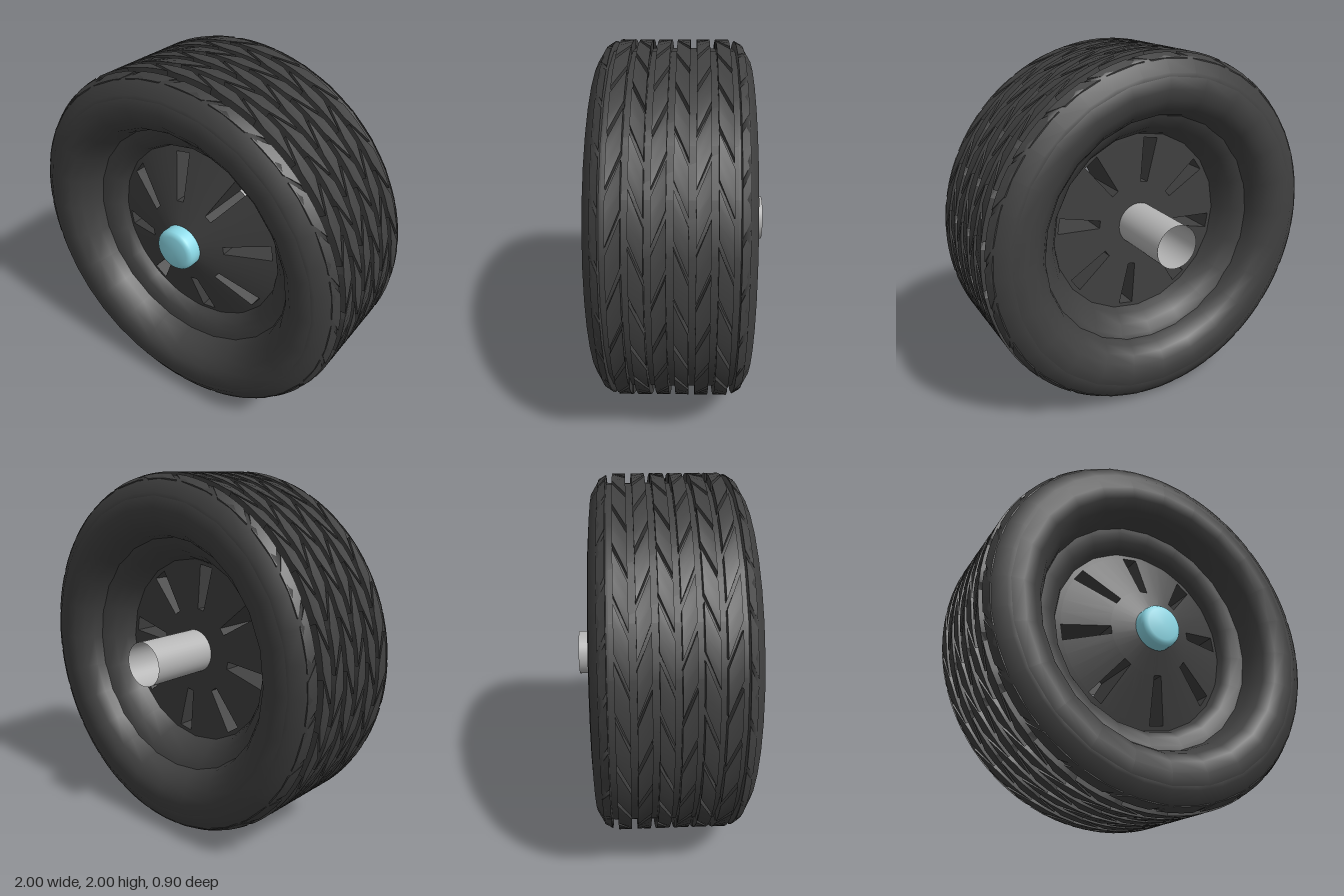
import * as THREE from 'three';
import { toCreasedNormals } from 'three/addons/utils/BufferGeometryUtils.js';

const rubber = new THREE.MeshStandardMaterial({ name: 'dark rubber', color: 0x404040 });
const cyan = new THREE.MeshStandardMaterial({ name: 'pale cyan', color: 0x8cdae8 });
const steel = new THREE.MeshStandardMaterial({ name: 'light grey', color: 0xb4b4b4, side: THREE.DoubleSide });

const SEGMENTS = 24;
const STEP = (Math.PI * 2) / SEGMENTS;

function addMesh(parent, name, geometry, material) {
  const mesh = new THREE.Mesh(geometry, material);
  mesh.name = name;
  parent.add(mesh);
}

// Turns a profile of [radius, z] pairs about the wheel axis (z)
function turned(profile, segments) {
  const points = profile.map(([r, z]) => new THREE.Vector2(r, z));
  return new THREE.LatheGeometry(points, segments).rotateX(Math.PI / 2);
}

// Collects four-sided faces, split along the shorter diagonal
function faceBuilder() {
  const positions = [];
  const gap = (a, b) => Math.hypot(a[0] - b[0], a[1] - b[1], a[2] - b[2]);
  return {
    quad(a, b, c, d) {
      if (gap(a, c) <= gap(b, d)) positions.push(...a, ...b, ...c, ...a, ...c, ...d);
      else positions.push(...a, ...b, ...d, ...b, ...c, ...d);
    },
    build() {
      const geometry = new THREE.BufferGeometry();
      geometry.setAttribute('position', new THREE.Float32BufferAttribute(positions, 3));
      return toCreasedNormals(geometry, 0.4);
    },
  };
}

const polar = (angle, r, z) => [Math.cos(angle) * r, Math.sin(angle) * r, z];

// One rib around the tyre: blocks parted by slanted cuts.
// r0 and r1 are the outer radii at the back (z0) and front (z1) edges.
function ribGeometry(z0, z1, r0, r1, slant, phase) {
  const { quad, build } = faceBuilder();
  const base = 0.92, cut = 0.04, parts = 3;
  // Corners: back base, back top, front top, front base
  const section = (angle) => [
    polar(angle - slant / 2, base, z0), polar(angle - slant / 2, r0, z0),
    polar(angle + slant / 2, r1, z1), polar(angle + slant / 2, base, z1),
  ];
  for (let i = 0; i < SEGMENTS; i++) {
    const start = i * STEP + phase;
    const sections = [];
    for (let k = 0; k <= parts; k++) sections.push(section(start + ((STEP - cut) * k) / parts));
    for (let k = 0; k < parts; k++) {
      const s = sections[k], e = sections[k + 1];
      quad(s[1], e[1], e[2], s[2]);
      quad(s[3], s[2], e[2], e[3]);
      quad(s[0], e[0], e[1], s[1]);
    }
    const first = sections[0], last = sections[parts];
    quad(last[0], last[3], last[2], last[1]);
    quad(first[0], first[1], first[2], first[3]);
  }
  return build();
}

// Wheel disc: coned front, flat back, eight tapered slots on a polar grid
function discGeometry() {
  const { quad, build } = faceBuilder();
  const radii = [0.08, 0.25, 0.505, 0.56];
  const back = -0.05, half = 0.088, sector = Math.PI / 4, spokeCells = 4;
  const f = (t, r) => polar(t, r, 0.17 + 0.19 * (1 - r / 0.56));
  const b = (t, r) => polar(t, r, back);
  for (let i = 0; i < 8; i++) {
    const centre = i * sector + 0.166;
    const angles = [centre - half];
    for (let k = 0; k <= spokeCells; k++) {
      angles.push(centre + half + ((sector - 2 * half) * k) / spokeCells);
    }
    for (let a = 0; a <= spokeCells; a++) {
      const t = angles[a], u = angles[a + 1];
      for (let k = 0; k < 3; k++) {
        const r = radii[k], s = radii[k + 1];
        if (a === 0 && k === 1) {
          // Slot walls
          quad(b(t, r), f(t, r), f(t, s), b(t, s));
          quad(b(u, s), f(u, s), f(u, r), b(u, r));
          quad(b(t, r), b(u, r), f(u, r), f(t, r));
          quad(f(t, s), f(u, s), b(u, s), b(t, s));
        } else {
          quad(f(t, r), f(t, s), f(u, s), f(u, r));
          quad(b(u, r), b(u, s), b(t, s), b(t, r));
        }
      }
    }
  }
  return build();
}

export function createModel() {
  const model = new THREE.Group();
  model.name = 'wheel';
  const wheel = new THREE.Group();
  wheel.name = 'wheelAssembly';
  wheel.position.y = 1;
  model.add(wheel);

  // Tyre body with rounded sidewalls and the floor of the tread grooves
  addMesh(wheel, 'tyreBody', turned([
    [0.66, -0.21], [0.675, -0.265], [0.71, -0.315], [0.76, -0.348], [0.82, -0.36], [0.89, -0.35],
    [0.935, -0.315], [0.955, -0.26], [0.957, 0.35],
    [0.935, 0.405], [0.89, 0.44], [0.82, 0.45], [0.76, 0.435], [0.71, 0.39], [0.675, 0.32], [0.66, 0.25],
  ], SEGMENTS), rubber);

  // Rim steps on both sides of the disc
  addMesh(wheel, 'frontRim', turned([[0.685, 0.265], [0.64, 0.26], [0.59, 0.245], [0.55, 0.21], [0.523, 0.15]], 20), rubber);
  addMesh(wheel, 'backRim', turned([[0.523, -0.03], [0.55, -0.1], [0.59, -0.165], [0.64, -0.205], [0.685, -0.22]], 20), rubber);

  // Tread: six ribs with cuts slanting in turn, and a sloping shoulder at each side
  const tread = new THREE.Group();
  tread.name = 'tread';
  wheel.add(tread);
  const slant = 0.17;
  for (let i = 0; i < 6; i++) {
    const z = -0.205 + i * 0.1;
    const turn = i % 2 ? -1 : 1;
    addMesh(tread, 'treadRib', ribGeometry(z - 0.034, z + 0.034, 1, 1, slant * turn, i % 2 ? 0.13 : 0), rubber);
  }
  addMesh(tread, 'frontShoulder', ribGeometry(0.362, 0.4, 0.992, 0.968, slant / 2, 0), rubber);
  addMesh(tread, 'backShoulder', ribGeometry(-0.313, -0.273, 0.968, 0.992, -slant / 2, 0.13), rubber);
  addMesh(tread, 'frontShoulderSlope', turned([[0.93, 0.36], [0.988, 0.362], [0.973, 0.395], [0.9, 0.442], [0.86, 0.44]], 36), rubber);
  addMesh(tread, 'backShoulderSlope', turned([[0.86, -0.35], [0.9, -0.352], [0.973, -0.308], [0.988, -0.273], [0.93, -0.27]], 36), rubber);

  addMesh(wheel, 'wheelDisc', discGeometry(), rubber);

  // Hub cap with a rounded edge
  addMesh(wheel, 'hubCap', toCreasedNormals(turned([
    [0.122, 0.28], [0.122, 0.365], [0.118, 0.382], [0.108, 0.394], [0.09, 0.4], [0, 0.402],
  ], 40), 0.9), cyan);

  // Open axle tube at the back
  const axle = new THREE.CylinderGeometry(0.123, 0.123, 0.41, 40, 1, true).rotateX(Math.PI / 2);
  addMesh(wheel, 'axleTube', axle.translate(0, 0, -0.245), steel);
  const plug = new THREE.CircleGeometry(0.123, 40).rotateY(Math.PI);
  addMesh(wheel, 'axlePlug', plug.translate(0, 0, -0.06), steel);

  return model;
}
